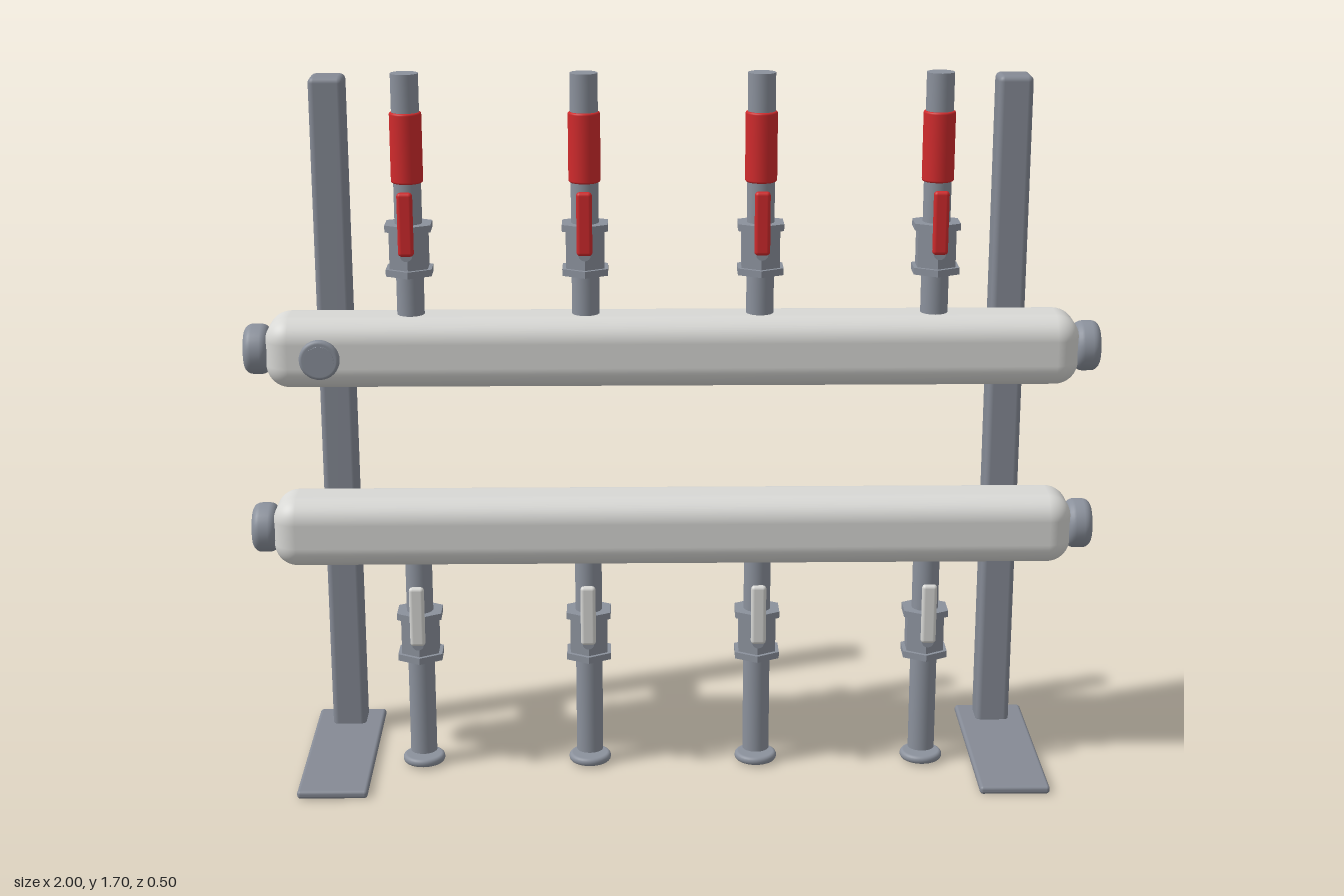
import * as THREE from 'three';
import { RoundedBoxGeometry } from 'three/addons/geometries/RoundedBoxGeometry.js';

const mat = (name, color) => {
  const m = new THREE.MeshStandardMaterial({ color });
  m.name = name;
  return m;
};

// Solid disc along y, centred on the origin, with rounded rims
function roundedDisc(r, h, bevel, segments = 32) {
  const pts = [new THREE.Vector2(0, -h / 2)];
  for (let i = 0; i <= 5; i++) {
    const a = -Math.PI / 2 + (i / 5) * Math.PI / 2;
    pts.push(new THREE.Vector2(r - bevel + Math.cos(a) * bevel, -h / 2 + bevel + Math.sin(a) * bevel));
  }
  for (let i = 0; i <= 5; i++) {
    const a = (i / 5) * Math.PI / 2;
    pts.push(new THREE.Vector2(r - bevel + Math.cos(a) * bevel, h / 2 - bevel + Math.sin(a) * bevel));
  }
  pts.push(new THREE.Vector2(0, h / 2));
  return new THREE.LatheGeometry(pts, segments);
}

export function createModel() {
  const model = new THREE.Group();
  model.name = 'pipeManifold';
  const frame = mat('frameSteel', 0x858a95);
  const steel = mat('pipeSteel', 0x8b919c);
  const white = mat('paintedWhite', 0xd8d8d5);
  const red = mat('redPaint', 0xd02a2c);
  const BAR_Z = 0.035;

  function add(parent, name, geometry, material, x, y, z) {
    const mesh = new THREE.Mesh(geometry, material);
    mesh.name = name;
    mesh.position.set(x, y, z);
    parent.add(mesh);
    return mesh;
  }
  const box = (w, h, d, r) => new RoundedBoxGeometry(w, h, d, 4, r);
  const pipe = (r, y0, y1) => new THREE.CylinderGeometry(r, r, y1 - y0, 32).translate(0, (y0 + y1) / 2, 0);

  // Posts, base plates and brackets
  for (const s of [-1, 1]) {
    const stand = new THREE.Group();
    stand.name = s > 0 ? 'leftStand' : 'rightStand';
    stand.position.x = s * 0.813;
    model.add(stand);
    add(stand, 'post', box(0.083, 1.648, 0.083, 0.014), frame, 0, 0.836, -0.196);
    add(stand, 'basePlate', box(0.167, 0.02, 0.505, 0.008), frame, 0, 0.014, -0.002);
    for (const y of [0.615, 1.055])
      add(stand, 'bracket', box(0.08, 0.064, 0.16, 0.01), frame, 0, y, -0.1);
  }

  // Header bars with an end cap on each side
  const barGeo = new RoundedBoxGeometry(1.894, 0.167, 0.167, 8, 0.055);
  const capGeo = roundedDisc(0.059, 0.06, 0.02).rotateZ(Math.PI / 2);
  for (const [name, y] of [['lowerHeader', 0.615], ['upperHeader', 1.055]]) {
    add(model, name, barGeo, white, 0, y, BAR_Z);
    for (const s of [-1, 1]) add(model, 'endCap', capGeo, steel, s * 0.97, y, BAR_Z);
  }

  // Plugged port on the front of the upper header
  const port = new THREE.Group();
  port.name = 'frontPort';
  port.position.set(-0.815, 1.055, 0);
  model.add(port);
  add(port, 'portNeck', new THREE.CylinderGeometry(0.034, 0.034, 0.05, 32).rotateX(Math.PI / 2), steel, 0, 0, 0.125);
  add(port, 'portFlange', roundedDisc(0.047, 0.02, 0.008).rotateX(Math.PI / 2), steel, 0, 0, 0.138);
  add(port, 'portPlug', new THREE.CylinderGeometry(0.033, 0.033, 0.03, 32).rotateX(Math.PI / 2), steel, 0, 0, 0.136);

  // Shared valve pieces: hexagons have corners facing front and back
  const hex = (r, h) => new THREE.CylinderGeometry(r, r, h, 6).toNonIndexed();
  const flangeGeo = hex(0.061, 0.016);
  const bodyGeo = hex(0.051, 0.104);
  [flangeGeo, bodyGeo].forEach((g) => g.computeVertexNormals());
  const stemGeo = new THREE.CylinderGeometry(0.014, 0.014, 0.08, 16).rotateX(Math.PI / 2);
  const leverGeo = box(0.036, 0.148, 0.018, 0.0085);

  function valve(parent, y, leverMaterial) {
    const v = new THREE.Group();
    v.name = 'valve';
    v.position.y = y;
    parent.add(v);
    add(v, 'valveBody', bodyGeo, steel, 0, 0, 0);
    for (const s of [-1, 1]) add(v, 'hexNut', flangeGeo, steel, 0, s * 0.052, 0);
    add(v, 'valveStem', stemGeo, steel, 0, 0, 0.043);
    add(v, 'lever', leverGeo, leverMaterial, 0, 0.073, 0.084);
  }

  // Four branches above and below the headers
  const upperPipe = pipe(0.032, 1.1, 1.7);
  const lowerPipe = pipe(0.032, 0.038, 0.57);
  const sleeveGeo = roundedDisc(0.037, 0.163, 0.005);
  const footGeo = roundedDisc(0.051, 0.02, 0.009);
  for (const x of [-0.61, -0.203, 0.203, 0.61]) {
    const branch = new THREE.Group();
    branch.name = 'branch';
    branch.position.set(x, 0, BAR_Z);
    model.add(branch);
    add(branch, 'upperPipe', upperPipe, steel, 0, 0, 0);
    add(branch, 'redSleeve', sleeveGeo, red, 0, 1.53, 0);
    valve(branch, 1.294, red);
    add(branch, 'lowerPipe', lowerPipe, steel, 0, 0, 0);
    add(branch, 'pipeFoot', footGeo, steel, 0, 0.018, 0);
    valve(branch, 0.343, white);
  }
  return model;
}
